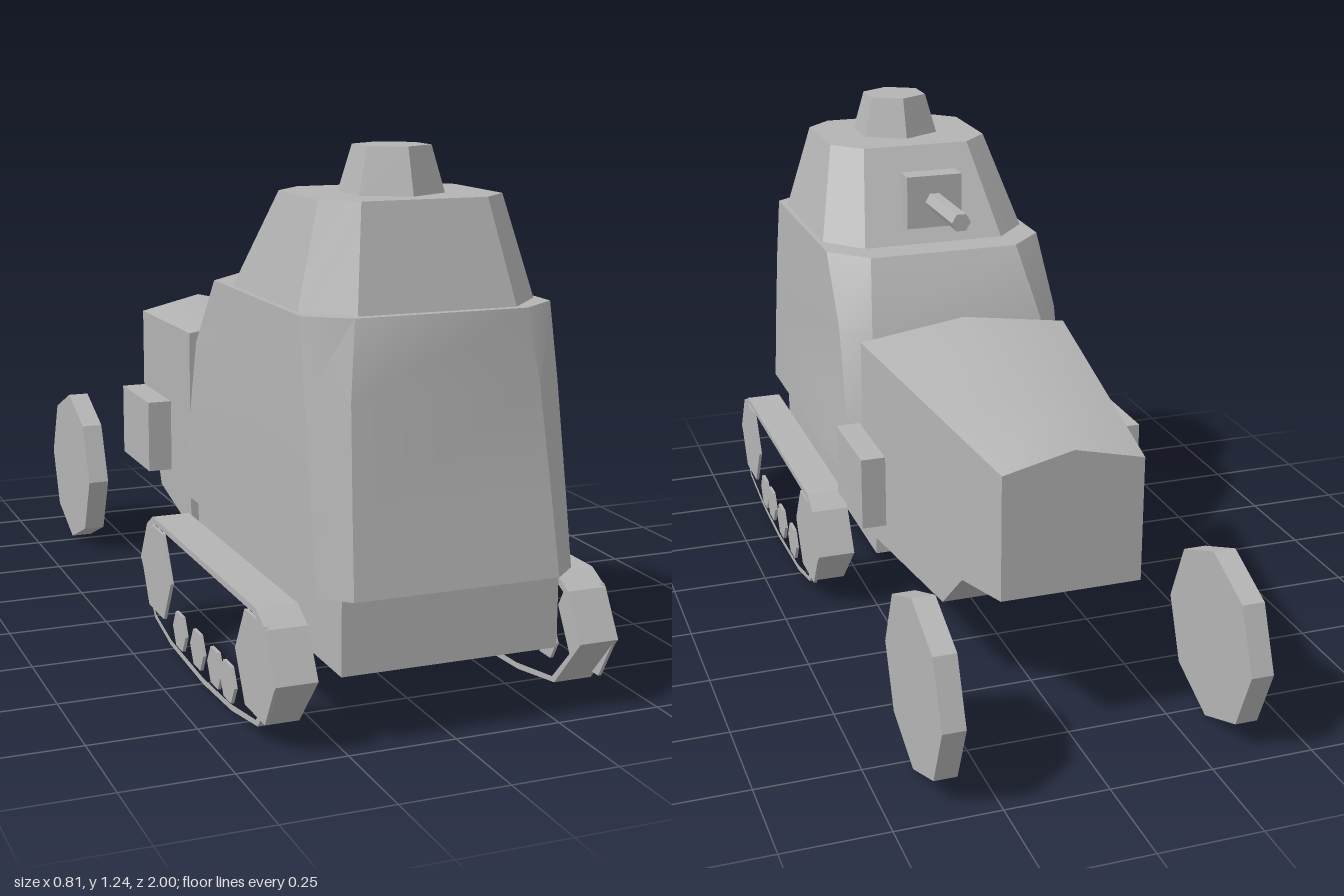
import * as THREE from 'three';
import { toCreasedNormals } from 'three/addons/utils/BufferGeometryUtils.js';

const steel = new THREE.MeshStandardMaterial({ color: 0xb4b4b4 });
steel.name = 'grey steel';

// Closed loft through equal-length rings, with convex end caps.
function loft(rings, crease = 0.65) {
  const n = rings[0].length, last = (rings.length - 1) * n, index = [];
  for (let r = 0; r < rings.length - 1; r++) {
    for (let i = 0; i < n; i++) {
      const a = r * n + i, b = r * n + (i + 1) % n;
      index.push(a, b, b + n, a, b + n, a + n);
    }
  }
  for (let i = 1; i < n - 1; i++) {
    index.push(0, i + 1, i, last, last + i, last + i + 1);
  }
  const geo = new THREE.BufferGeometry();
  geo.setAttribute('position', new THREE.Float32BufferAttribute(rings.flat(2), 3));
  geo.setIndex(index);
  return toCreasedNormals(geo, crease);
}

// Horizontal chamfered rectangle: front/back z, chamfer z's, and half widths.
function armourRing(y, front, frontSide, backSide, back, half, frontHalf, backHalf) {
  const side = [[frontHalf, front], [half, frontSide], [half, backSide], [backHalf, back]];
  const mirrored = side.map(([x, z]) => [-x, z]).reverse();
  return [...side, ...mirrored].map(([x, z]) => [x, y, z]);
}

// Thin ring or plate drawn in (z, y), extruded across x.
function sideExtrude(shape, depth) {
  return new THREE.ExtrudeGeometry(shape, { depth, bevelEnabled: false }).rotateY(-Math.PI / 2);
}

export function createModel() {
  const group = new THREE.Group();
  const add = (name, geo, x = 0, y = 0, z = 0, parent = group) => {
    const mesh = new THREE.Mesh(geo, steel);
    mesh.name = name;
    mesh.position.set(x, y, z);
    parent.add(mesh);
    return mesh;
  };

  // Hull and armoured cabin
  add('lowerHull', new THREE.BoxGeometry(0.51, 0.17, 0.99), 0, 0.25, 0.475);
  add('cabin', loft([
    armourRing(0.335, 1.0, 0.945, 0.045, 0.02, 0.3, 0.24, 0.27),
    armourRing(0.51, 0.97, 0.91, 0.085, 0.022, 0.3, 0.232, 0.255),
    armourRing(0.74, 0.93, 0.865, 0.145, 0.07, 0.298, 0.22, 0.23),
    armourRing(0.91, 0.9, 0.83, 0.275, 0.18, 0.294, 0.2, 0.2),
  ]));
  add('turret', loft([
    armourRing(0.91, 0.88, 0.78, 0.37, 0.27, 0.28, 0.185, 0.19),
    armourRing(1.14, 0.808, 0.74, 0.505, 0.43, 0.218, 0.148, 0.145),
  ]));
  add('cupola', new THREE.CylinderGeometry(0.088, 0.119, 0.105, 6).toNonIndexed(), 0, 1.1925, 0.63)
    .geometry.computeVertexNormals();

  // Gun
  add('gunMount', new THREE.BoxGeometry(0.15, 0.14, 0.06), 0, 1.025, 0.292);
  const barrel = new THREE.CylinderGeometry(0.025, 0.025, 0.225, 6)
    .rotateY(Math.PI / 6).rotateX(Math.PI / 2).toNonIndexed();
  barrel.computeVertexNormals();
  add('gunBarrel', barrel, 0, 1.025, 0.15);

  // Tapering engine hood with a shallow ridged roof
  const hoodRing = ([z, bottom]) => {
    const t = (0.02 - z) / 0.77;
    const w = 0.275 - 0.105 * t, eave = 0.74 - 0.065 * t;
    return [[-w, bottom, z], [-w, eave, z], [0, eave + 0.04, z], [w, eave, z], [w, bottom, z]];
  };
  add('hood', loft([[0.02, 0.228], [-0.45, 0.228], [-0.555, 0.335], [-0.75, 0.37]].map(hoodRing), 0.85));

  // Track belt outline: top run, front nose, sagging bottom run, rear nose
  const outline = [[0.86, 0.3], [0.92, 0.27], [0.98, 0.166], [0.87, 0.04], [0.7, 0.012], [0.5, 0.002],
    [0.25, 0.012], [0.12, 0.04], [0, 0.166], [0.06, 0.27], [0.11, 0.3]];
  const belt = new THREE.Shape(outline.map(([z, y]) => new THREE.Vector2(z, y)));
  belt.holes.push(new THREE.Path(outline.map(([z, y]) =>
    new THREE.Vector2(0.49 + (z - 0.49) * 0.972, 0.15 + (y - 0.15) * 0.9))));
  const beltGeo = sideExtrude(belt, 0.095);
  const hexPlate = (r) => {
    const pts = [];
    for (let i = 0; i < 6; i++) {
      const a = i * Math.PI / 3;
      pts.push(new THREE.Vector2(Math.cos(a) * r, Math.sin(a) * r));
    }
    return sideExtrude(new THREE.Shape(pts), 0.008);
  };
  const idler = hexPlate(0.125), roller = hexPlate(0.05);

  // Paired running gear and side boxes
  for (const s of [1, -1]) {
    const label = s > 0 ? 'left' : 'right';
    const track = new THREE.Group();
    track.name = label + 'Track';
    group.add(track);
    add(label + 'TrackBelt', beltGeo, s > 0 ? 0.405 : -0.31, 0, 0, track);
    const plateX = s > 0 ? 0.405 : -0.397;
    for (const z of [0.852, 0.132]) add(label + 'Idler', idler, plateX, 0.168, z, track);
    for (const z of [0.672, 0.582, 0.455, 0.32]) add(label + 'Roller', roller, plateX, 0.07, z, track);

    const wheel = new THREE.CylinderGeometry(0.215, 0.215, 0.055, 8).rotateZ(Math.PI / 2).toNonIndexed();
    wheel.computeVertexNormals();
    add(label + 'RearWheel', wheel, s * 0.362, 0.217, -0.785);
    add(label + 'SideBox', new THREE.BoxGeometry(0.06, 0.18, 0.235), s * 0.333, 0.463, -0.172);
  }
  return group;
}
